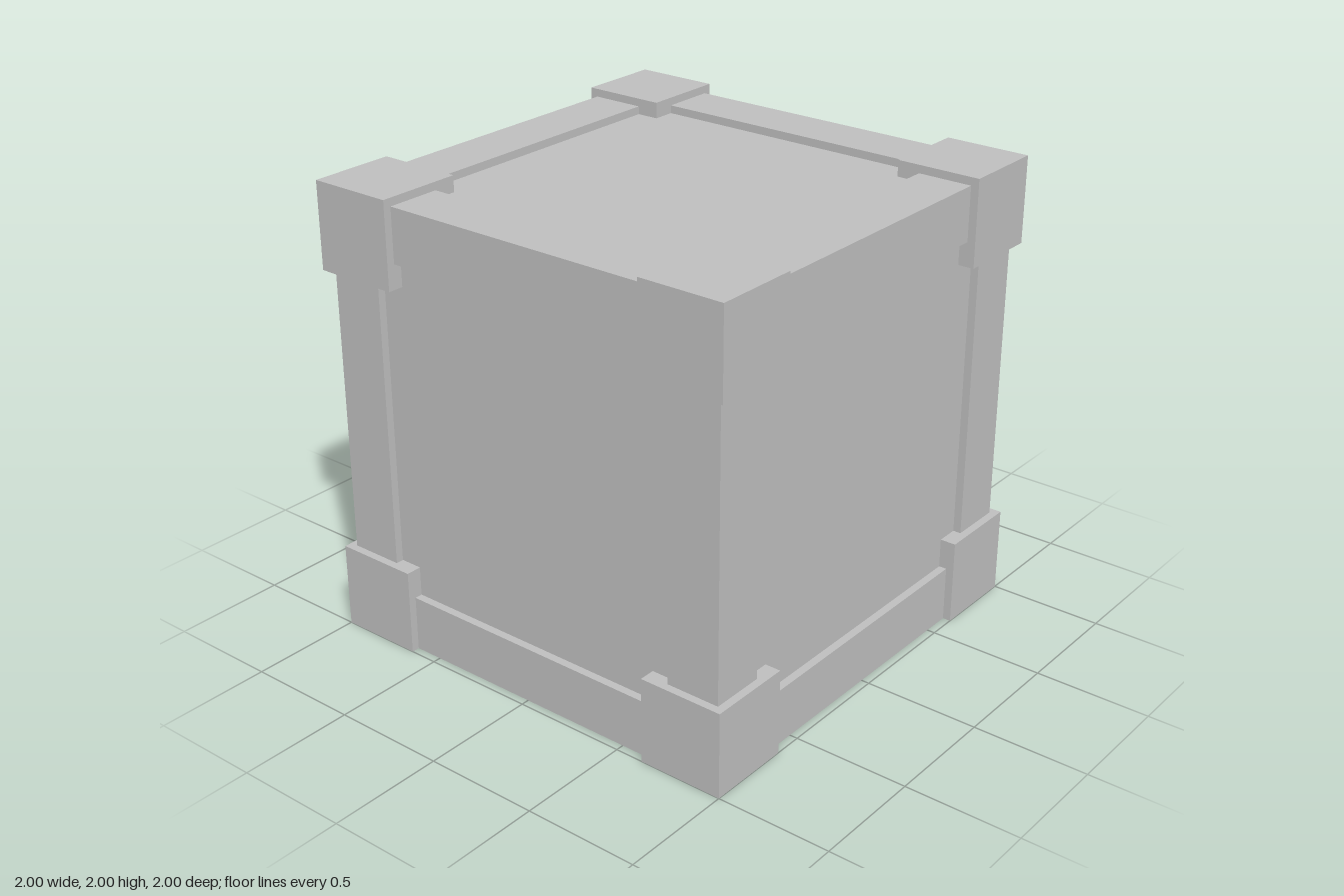
import * as THREE from 'three';

const OUTER = 0.965;   // half width of the framed shell
const INNER = 0.725;   // half width of each recessed panel
const DEPTH = 0.035;   // how far the panels sit back
const BLOCK = 0.375;   // corner block size

const grey = new THREE.MeshStandardMaterial({ color: 0xbfbfbf, side: THREE.DoubleSide });
grey.name = 'plain grey';

// Four corners of a rectangle, anticlockwise seen from +z
const rect = (halfW, y0, y1, z) => [[-halfW, y0, z], [halfW, y0, z], [halfW, y1, z], [-halfW, y1, z]];

// Joins successive rectangles with flat bands, then closes the last one
function facesFromLoops(loops) {
  const pos = [];
  const quad = (a, b, c, d) => pos.push(...a, ...b, ...c, ...a, ...c, ...d);
  for (let i = 0; i < loops.length - 1; i++) {
    const p = loops[i], q = loops[i + 1];
    for (let k = 0; k < 4; k++) quad(p[k], p[(k + 1) % 4], q[(k + 1) % 4], q[k]);
  }
  quad(...loops[loops.length - 1]);
  const geo = new THREE.BufferGeometry();
  geo.setAttribute('position', new THREE.Float32BufferAttribute(pos, 3));
  geo.computeVertexNormals();
  return geo;
}

// One shell face: raised border, small step, sunken panel
function framedPanel(y0, y1, hole0, hole1, z) {
  return facesFromLoops([
    rect(OUTER, y0, y1, z),
    rect(INNER, hole0, hole1, z),
    rect(INNER, hole0, hole1, z - DEPTH),
  ]);
}

function add(parent, geo, name) {
  const mesh = new THREE.Mesh(geo, grey);
  mesh.name = name;
  parent.add(mesh);
  return mesh;
}

export function createModel() {
  const crate = new THREE.Group();
  crate.name = 'crate';

  // Four side walls
  const wall = framedPanel(0, 1.965, 0.245, 1.73, OUTER);
  ['frontWall', 'leftWall', 'backWall', 'rightWall'].forEach((name, i) => {
    add(crate, wall, name).rotation.y = i * Math.PI / 2;
  });

  // Lid; the underside stays open
  const lid = add(crate, framedPanel(-OUTER, OUTER, -INNER, INNER, 1.965), 'lid');
  lid.rotation.x = -Math.PI / 2;

  // Corner blocks, the lower ones without a bottom face
  const upper = new THREE.BoxGeometry(BLOCK, BLOCK, BLOCK);
  const lower = upper.clone();
  const index = Array.from(lower.index.array);
  index.splice(18, 6);
  lower.setIndex(index);
  lower.clearGroups();
  const c = 1 - BLOCK / 2;
  for (const x of [-c, c]) {
    for (const z of [-c, c]) {
      add(crate, upper, 'upperCornerBlock').position.set(x, 2 - BLOCK / 2, z);
      add(crate, lower, 'lowerCornerBlock').position.set(x, BLOCK / 2, z);
    }
  }
  return crate;
}
